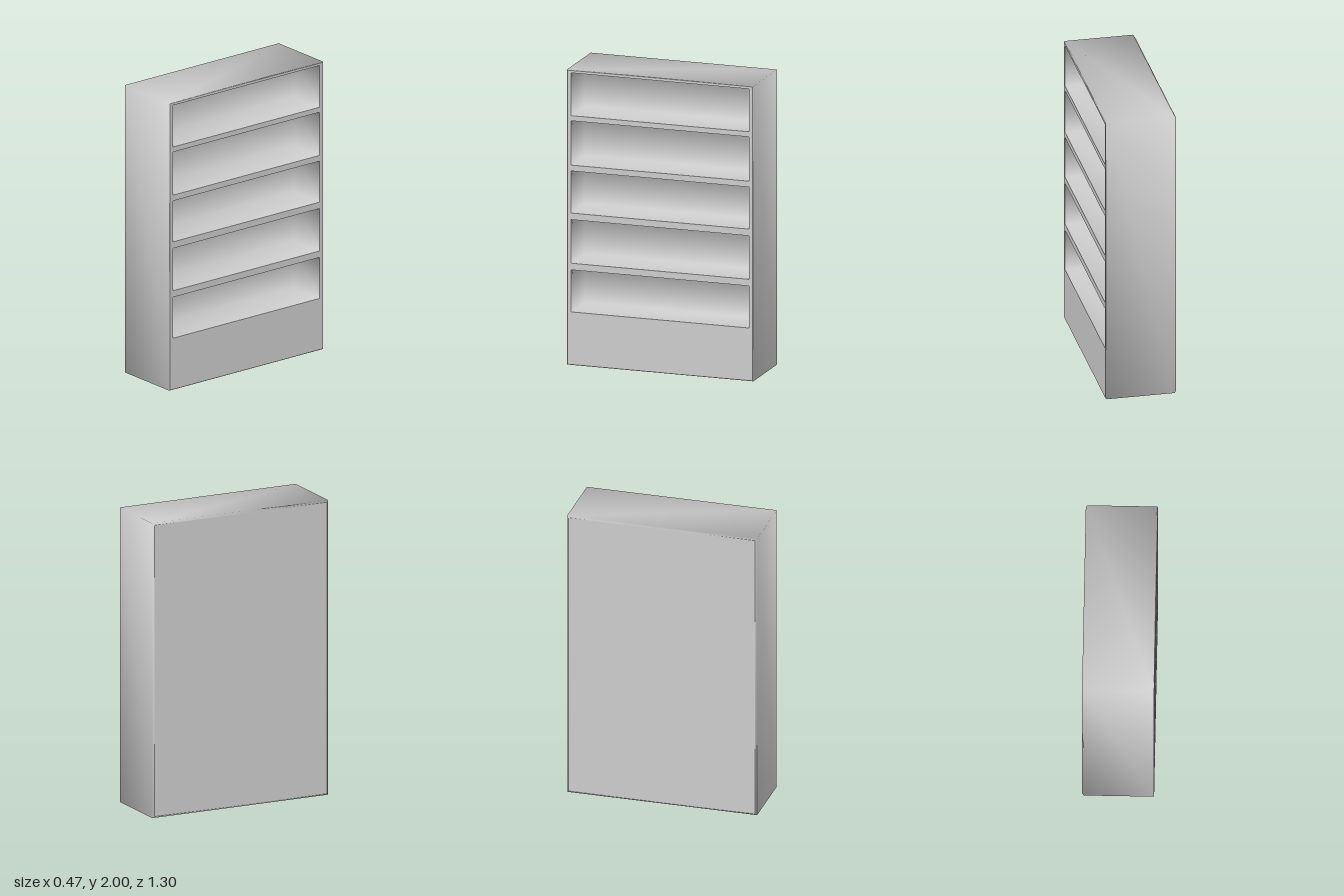
import * as THREE from 'three';
import { mergeVertices } from 'three/addons/utils/BufferGeometryUtils.js';

const H = 2, Z = 0.648;                 // height and half width
const BACK = -0.238, FACE = 0.235;      // closed back and open face along x
const BAY_BACK = -0.035, BAY_Z = 0.618; // inner back wall and half width of a bay
const BAYS = [[0.36, 0.645], [0.69, 0.985], [1.03, 1.315], [1.355, 1.655], [1.69, 1.98]];

function rect(Type, halfW, y0, y1) {
  const p = new Type();
  p.moveTo(-halfW, y0);
  p.lineTo(halfW, y0);
  p.lineTo(halfW, y1);
  p.lineTo(-halfW, y1);
  p.closePath();
  return p;
}

// Sides, top and bottom as one smooth band with slim bevels at both rims
function bandGeometry() {
  const sections = [[BACK, 0.012], [BACK + 0.01, 0], [FACE - 0.004, 0], [FACE, 0.004]];
  const pos = [], idx = [];
  for (const [x, inset] of sections) {
    const z = Z - inset, y0 = inset, y1 = H - inset;
    pos.push(x, y0, -z, x, y1, -z, x, y1, z, x, y0, z);
  }
  for (let i = 0; i < sections.length - 1; i++) {
    for (let j = 0; j < 4; j++) {
      const k = (j + 1) % 4;
      const a = i * 4 + j, b = i * 4 + k, c = b + 4, d = a + 4;
      idx.push(a, b, c, a, c, d);
    }
  }
  const g = new THREE.BufferGeometry();
  g.setAttribute('position', new THREE.Float32BufferAttribute(pos, 3));
  g.setIndex(idx);
  g.computeVertexNormals();
  return g;
}

// Inside of one bay: a box without its +x side, turned inside out and smoothed
function bayGeometry(y0, y1) {
  const box = new THREE.BoxGeometry(FACE - BAY_BACK, y1 - y0, 2 * BAY_Z);
  box.translate((FACE + BAY_BACK) / 2, (y0 + y1) / 2, 0);
  box.setIndex(Array.from(box.index.array).slice(6).reverse());
  box.clearGroups();
  box.deleteAttribute('normal');
  box.deleteAttribute('uv');
  const g = mergeVertices(box);
  g.computeVertexNormals();
  return g;
}

export function createModel() {
  const group = new THREE.Group();
  group.name = 'bookcase';
  const material = new THREE.MeshStandardMaterial({ color: 0xcccccc });
  const add = (name, geometry) => {
    const mesh = new THREE.Mesh(geometry, material);
    mesh.name = name;
    group.add(mesh);
    return mesh;
  };

  add('outerCase', bandGeometry());

  // Open face with a hole for each bay
  const face = rect(THREE.Shape, Z - 0.004, 0.004, H - 0.004);
  for (const [y0, y1] of BAYS) face.holes.push(rect(THREE.Path, BAY_Z, y0, y1));
  const frame = add('shelfFrame', new THREE.ShapeGeometry(face));
  frame.rotation.y = Math.PI / 2;
  frame.position.x = FACE;

  // Plain back
  const back = add('backPanel', new THREE.ShapeGeometry(rect(THREE.Shape, Z - 0.012, 0.012, H - 0.012)));
  back.rotation.y = -Math.PI / 2;
  back.position.x = BACK;

  // Recessed shelves
  BAYS.forEach(([y0, y1], i) => add('shelfBay' + (i + 1), bayGeometry(y0, y1)));

  return group;
}
